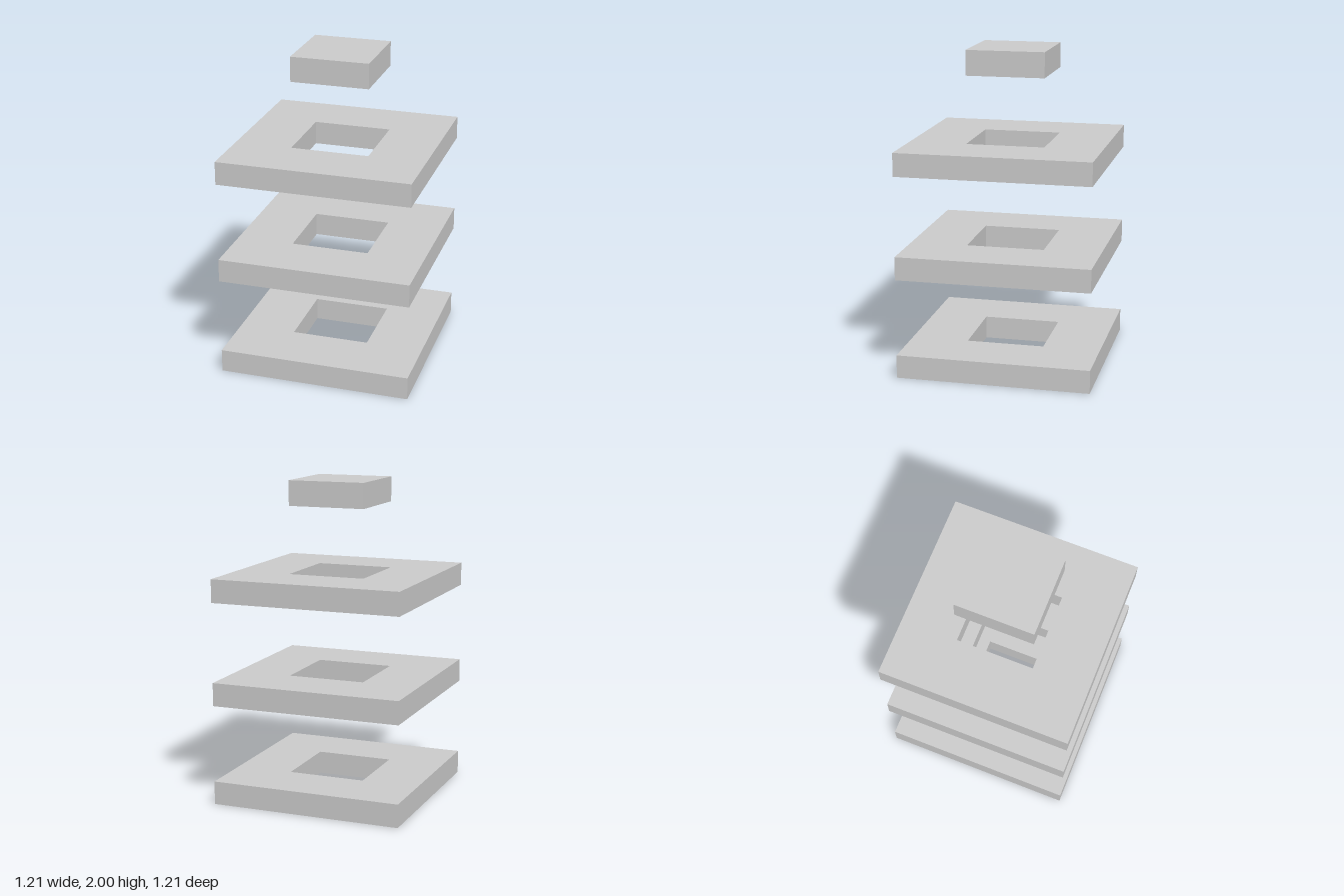
import * as THREE from 'three';

const OUTER = 1.21, INNER = 0.49, THICK = 0.146;

// Traces a centred square on a shape or path
function square(path, size) {
  const h = size / 2;
  path.moveTo(-h, -h);
  path.lineTo(h, -h);
  path.lineTo(h, h);
  path.lineTo(-h, h);
  path.closePath();
  return path;
}

export function createModel() {
  const group = new THREE.Group();
  const material = new THREE.MeshStandardMaterial({ color: 0xcccccc, flatShading: true });

  // Square plate with a square hole, lying flat on its base
  const shape = square(new THREE.Shape(), OUTER);
  shape.holes.push(square(new THREE.Path(), INNER));
  const plateGeometry = new THREE.ExtrudeGeometry(shape, { depth: THICK, bevelEnabled: false });
  plateGeometry.rotateX(-Math.PI / 2);

  // Three stacked plates
  ['lowerPlate', 'middlePlate', 'upperPlate'].forEach((name, i) => {
    const plate = new THREE.Mesh(plateGeometry, material);
    plate.name = name;
    plate.position.y = [0, 0.63, 1.275][i];
    group.add(plate);
  });

  // Small solid block floating above the holes
  const capHeight = 0.157;
  const cap = new THREE.Mesh(new THREE.BoxGeometry(INNER, capHeight, INNER), material);
  cap.name = 'topBlock';
  cap.position.y = 2 - capHeight / 2;
  group.add(cap);

  return group;
}
